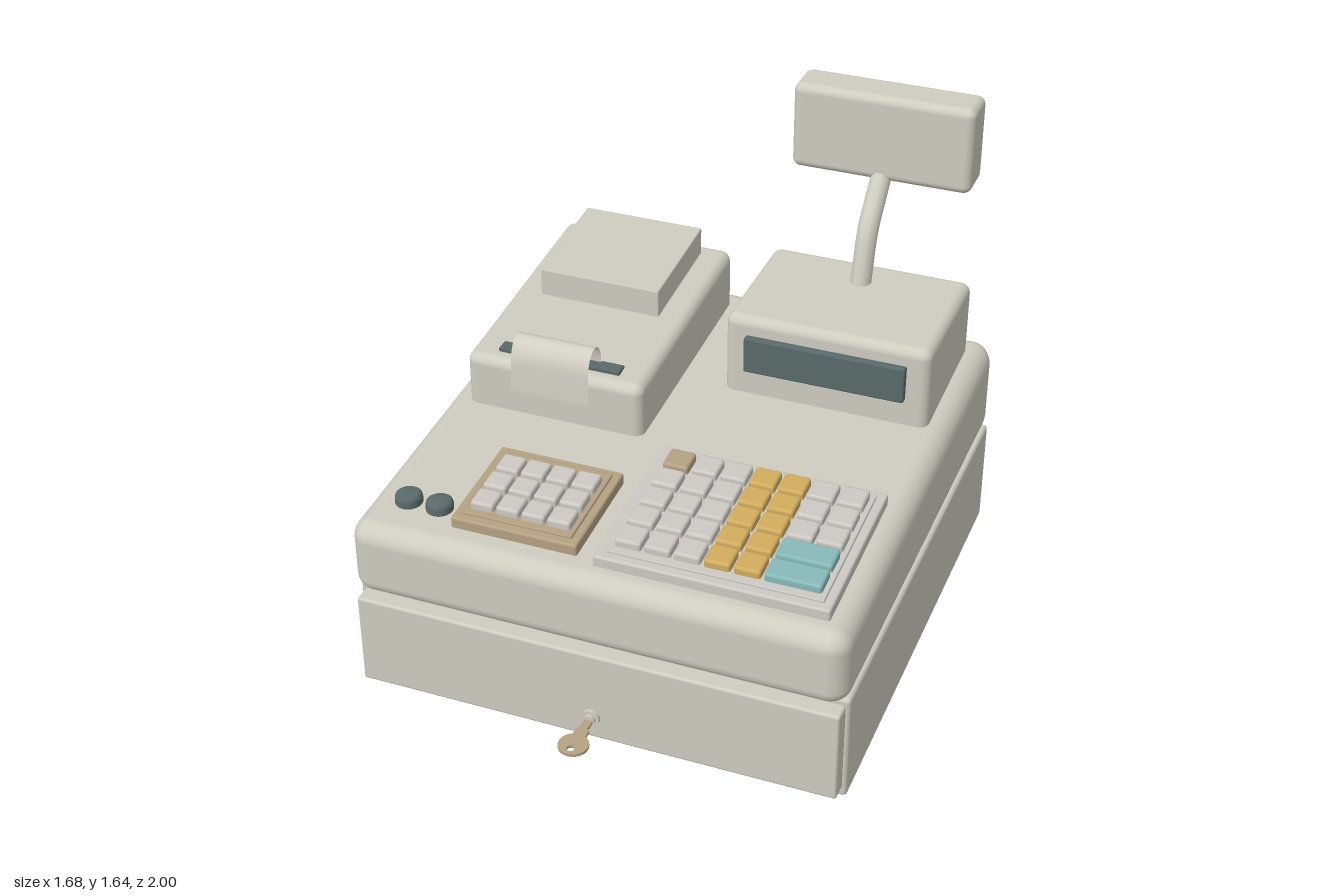
import * as THREE from 'three';
import { RoundedBoxGeometry } from 'three/addons/geometries/RoundedBoxGeometry.js';

const material = (name, color, side = THREE.FrontSide) => {
  const m = new THREE.MeshStandardMaterial({ color, side });
  m.name = name;
  return m;
};

export function createModel() {
  const root = new THREE.Group();
  root.name = 'cashRegister';
  const casing = material('casing beige', 0xcfccc0);
  const paper = material('paper', 0xd2cfc4, THREE.DoubleSide);
  const keyGrey = material('key grey', 0xcdcac5);
  const dark = material('dark glass', 0x5a6a6a);
  const tan = material('tan', 0xb5a283);
  const yellow = material('key yellow', 0xd2ad5e);
  const teal = material('key teal', 0x88b9ba);

  const add = (name, geometry, mat, parent = root) => {
    const mesh = new THREE.Mesh(geometry, mat);
    mesh.name = name;
    parent.add(mesh);
    return mesh;
  };

  // Rounded box between limits; its top (or all of it) rises toward the back by slope
  const block = (name, [x0, x1], [y0, y1], [z0, z1], r, mat, slope = 0, shearAll = false, parent = root, seg = 3) => {
    const g = new RoundedBoxGeometry(x1 - x0, y1 - y0, z1 - z0, seg, r);
    g.translate((x0 + x1) / 2, (y0 + y1) / 2, (z0 + z1) / 2);
    const p = g.attributes.position;
    for (let i = 0; slope && i < p.count; i++) {
      const t = shearAll ? 1 : (p.getY(i) - y0) / (y1 - y0);
      p.setY(i, p.getY(i) - slope * t * p.getZ(i));
    }
    return add(name, g, mat, parent);
  };

  // Cash drawer and sloping main body
  block('drawerCabinet', [-0.84, 0.84], [0.005, 0.4], [-0.9, 0.745], 0.015, casing);
  block('drawerFront', [-0.825, 0.825], [0.04, 0.375], [0.7, 0.805], 0.01, casing);
  const SLOPE = 0.0626, DECK = 0.71;
  block('mainBody', [-0.84, 0.84], [0.395, DECK], [-0.9, 0.805], 0.07, casing, SLOPE, false, root, 5);

  // Receipt printer
  block('printerHousing', [-0.76, -0.12], [0.66, 0.9], [-0.82, 0.06], 0.035, casing, 0.09, false, root, 4);
  block('printerCover', [-0.66, -0.22], [0.88, 1.0], [-0.765, -0.345], 0.004, casing, 0.085, true, root, 1);
  block('paperSlot', [-0.66, -0.22], [0.87, 0.913], [-0.04, 0.01], 0.004, dark, 0, false, root, 1);
  const path = new THREE.CatmullRomCurve3([
    [0.88, -0.03], [0.935, -0.027], [0.98, -0.01], [0.996, 0.022],
    [0.985, 0.055], [0.945, 0.08], [0.88, 0.088], [0.81, 0.092],
  ].map(([y, z]) => new THREE.Vector3(0, y, z)));
  const N = 24;
  const strip = new THREE.PlaneGeometry(0.28, 1, 1, N);
  const sp = strip.attributes.position;
  for (let i = 0; i < sp.count; i++) {
    const q = path.getPoint(Math.floor(i / 2) / N);
    sp.setXYZ(i, sp.getX(i) - 0.44, q.y, q.z);
  }
  strip.computeVertexNormals();
  add('receiptPaper', strip, paper);

  // Operator display, pole and customer display
  block('displayHousing', [0.04, 0.76], [0.68, 1.022], [-0.82, -0.3], 0.035, casing, 0, false, root, 4);
  block('displayWindow', [0.115, 0.68], [0.825, 0.957], [-0.34, -0.275], 0.006, dark, 0, false, root, 1);
  const poleCurve = new THREE.CatmullRomCurve3([
    [0.98, -0.668], [1.08, -0.695], [1.17, -0.724], [1.215, -0.75], [1.27, -0.803], [1.35, -0.882],
  ].map(([y, z]) => new THREE.Vector3(0.4, y, z)));
  add('displayPole', new THREE.TubeGeometry(poleCurve, 16, 0.037, 10), casing);
  block('customerDisplay', [0.08, 0.72], [1.328, 1.642], [-1, -0.842], 0.03, casing, 0, false, root, 4);

  // Key pads: a tray, a raised panel and a grid of keys following the deck
  const pad = (name, x, z, inset, trayMat, first, pitch, cols, rows, size, colourOf) => {
    const group = new THREE.Group();
    group.name = name;
    root.add(group);
    block('tray', x, [DECK - 0.03, DECK + 0.038], z, 0.008, trayMat, SLOPE, true, group, 2);
    block('panel', [x[0] + inset, x[1] - inset], [DECK, DECK + 0.046], [z[0] + inset, z[1] - inset],
      0.004, trayMat, SLOPE, true, group, 1);
    for (let r = 0; r < rows; r++) for (let c = 0; c < cols; c++) {
      const mat = colourOf(r, c);
      if (!mat) continue;
      const span = mat === teal ? 1 : 0;
      const kx = first[0] + c * pitch[0], kz = first[1] + r * pitch[1];
      block('key', [kx - size / 2, kx + size / 2 + span * pitch[0]], [DECK + 0.03, DECK + 0.073],
        [kz - size / 2, kz + size / 2], 0.01, mat, SLOPE, true, group, 2);
    }
  };
  pad('mainKeyboard', [-0.02, 0.755], [0.12, 0.72], 0.03, keyGrey, [0.073, 0.21], [0.0985, 0.102], 7, 5, 0.088,
    (r, c) => {
      if (r === 0 && c === 0) return tan;
      if (c === 3 || c === 4) return yellow;
      if (r > 2 && c > 4) return c === 5 ? teal : null;
      return keyGrey;
    });
  pad('numberPad', [-0.52, -0.085], [0.3, 0.695], 0.028, tan, [-0.435, 0.412], [0.0885, 0.095], 4, 3, 0.08,
    () => keyGrey);

  // Round buttons
  for (const x of [-0.705, -0.595]) {
    const profile = [[0, 0.035], [0.034, 0.035], [0.043, 0.028], [0.046, 0.016], [0.046, -0.03]];
    const g = new THREE.LatheGeometry(profile.reverse().map(([a, b]) => new THREE.Vector2(a, b)), 20);
    add('roundButton', g, dark).position.set(x, DECK - SLOPE * 0.62, 0.62);
  }

  // Lock and flat key
  const barrel = (name, r, z0, z1) => {
    const g = new THREE.CylinderGeometry(r, r, z1 - z0, 20).rotateX(Math.PI / 2);
    add(name, g, casing).position.set(0, 0.125, (z0 + z1) / 2);
  };
  barrel('lockRing', 0.031, 0.79, 0.817);
  barrel('lockCore', 0.02, 0.8, 0.828);
  const shape = new THREE.Shape();
  shape.moveTo(-0.014, 0.81);
  shape.lineTo(0.014, 0.81);
  shape.lineTo(0.014, 0.87);
  shape.lineTo(0.022, 0.875);
  shape.lineTo(0.022, 0.905);
  shape.absarc(0, 0.95, 0.05, -1.1, Math.PI + 1.1, false);
  shape.lineTo(-0.022, 0.875);
  shape.lineTo(-0.014, 0.87);
  const hole = new THREE.Path();
  hole.absarc(0, 0.972, 0.013, 0, Math.PI * 2, true);
  shape.holes.push(hole);
  const keyGeo = new THREE.ExtrudeGeometry(shape, { depth: 0.01, bevelEnabled: false, curveSegments: 16 });
  keyGeo.rotateX(Math.PI / 2);
  add('drawerKey', keyGeo, tan).position.y = 0.13;

  return root;
}
